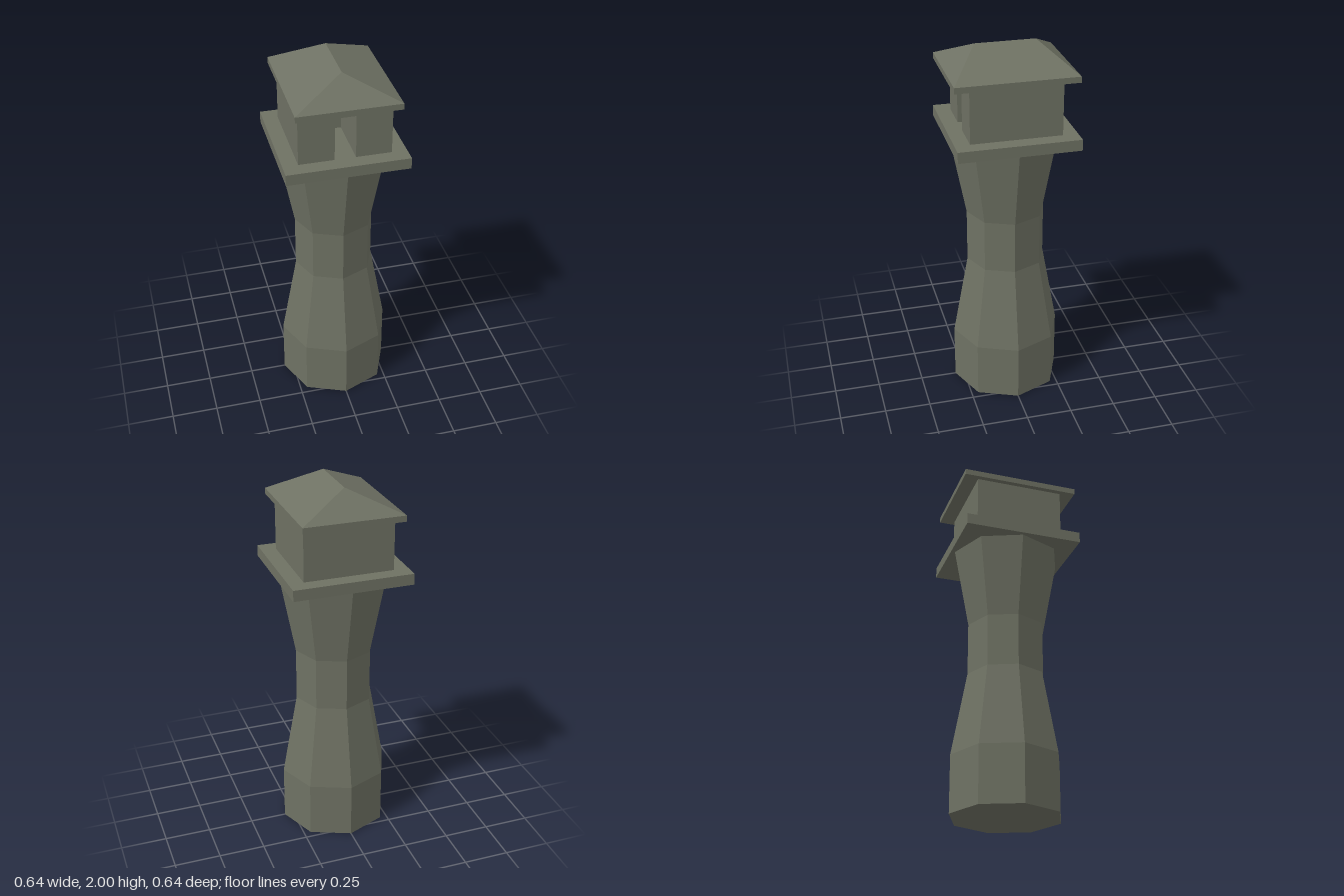
import * as THREE from 'three';

export function createModel() {
  const model = new THREE.Group();
  model.name = 'watchtower';
  const stone = new THREE.MeshStandardMaterial({ color: 0x6e7163, flatShading: true });
  stone.name = 'greyGreenStone';

  function add(name, geometry, x = 0, y = 0, z = 0) {
    const mesh = new THREE.Mesh(geometry, stone);
    mesh.name = name;
    mesh.position.set(x, y, z);
    model.add(mesh);
  }

  // Eight-sided waisted shaft, with a corner facing forward
  const profile = [[0, 0], [0.3, 0], [0.3, 0.31], [0.215, 0.77], [0.215, 1.06], [0.3, 1.5], [0, 1.5]]
    .map(([r, y]) => new THREE.Vector2(r, y));
  add('shaft', new THREE.LatheGeometry(profile, 8));

  // Square walkway
  add('platform', new THREE.BoxGeometry(0.645, 0.06, 0.645), 0, 1.53, 0);

  // Cabin: front block with a deep doorway, closed by a solid rear block
  const half = 0.242, floor = 1.56, top = 1.845, lintel = 1.795, door = 0.055, depth = 0.3;
  const front = new THREE.Shape([
    [-half, floor], [-door, floor], [-door, lintel], [door, lintel],
    [door, floor], [half, floor], [half, top], [-half, top],
  ].map(([x, y]) => new THREE.Vector2(x, y)));
  add('cabinFront', new THREE.ExtrudeGeometry(front, { depth, bevelEnabled: false }), 0, 0, half - depth);
  const rear = 2 * half - depth;
  add('cabinRear', new THREE.BoxGeometry(2 * half, top - floor, rear), 0, (top + floor) / 2, -half + rear / 2);

  // Eaves slab
  const ex = 0.27, ez = 0.322, eaveTop = 1.877;
  add('eaves', new THREE.BoxGeometry(2 * ex, eaveTop - top, 2 * ez), 0, (eaveTop + top) / 2, 0);

  // Hipped roof: four eave corners and two ridge ends
  const roof = new THREE.BufferGeometry();
  roof.setAttribute('position', new THREE.Float32BufferAttribute([
    -ex, eaveTop, ez, ex, eaveTop, ez, ex, eaveTop, -ez, -ex, eaveTop, -ez,
    0, 2, 0.16, 0, 2, -0.16,
  ], 3));
  roof.setIndex([0, 1, 4, 1, 2, 5, 1, 5, 4, 2, 3, 5, 3, 0, 4, 3, 4, 5]);
  const flatRoof = roof.toNonIndexed();
  flatRoof.computeVertexNormals();
  add('hippedRoof', flatRoof);

  return model;
}
